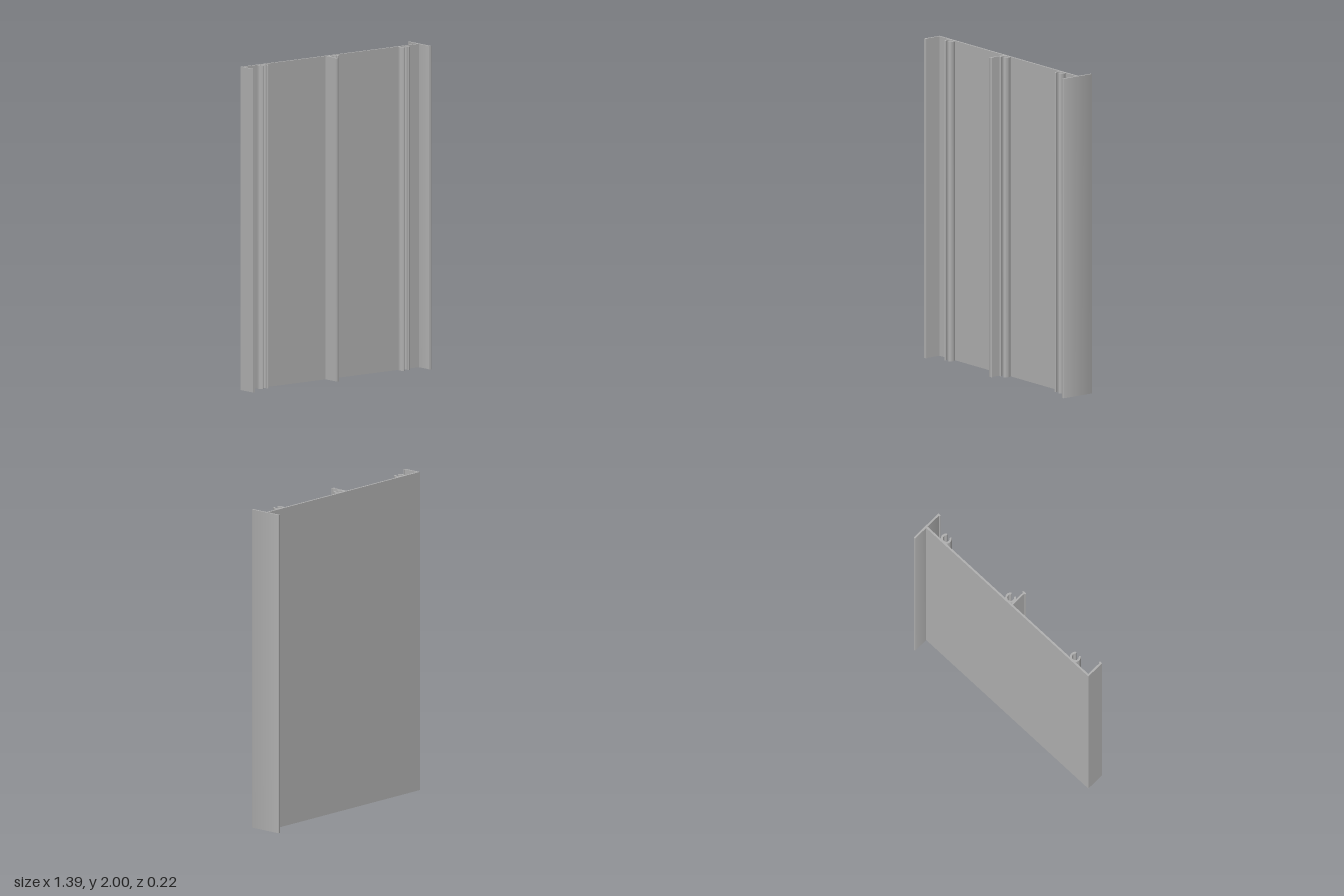
import * as THREE from 'three';
import { toCreasedNormals } from 'three/addons/utils/BufferGeometryUtils.js';

const HEIGHT = 2;

export function createModel() {
  const group = new THREE.Group();
  const aluminium = new THREE.MeshStandardMaterial({ color: 0xb0b0b0 });

  // Extrude a plan section (x, -z) up to the full height
  function extrude(name, shape) {
    const geo = new THREE.ExtrudeGeometry(shape, { depth: HEIGHT, bevelEnabled: false, curveSegments: 20 });
    geo.rotateX(-Math.PI / 2);
    const mesh = new THREE.Mesh(toCreasedNormals(geo, 0.6), aluminium);
    mesh.name = name;
    group.add(mesh);
    return mesh;
  }

  // Rectangular plan section with small rounded corners
  function bar(name, x0, x1, z0, z1, r = 0) {
    const s = new THREE.Shape();
    const y0 = -z1, y1 = -z0;
    if (r === 0) {
      s.moveTo(x0, y0).lineTo(x1, y0).lineTo(x1, y1).lineTo(x0, y1).closePath();
    } else {
      s.absarc(x1 - r, y0 + r, r, -Math.PI / 2, 0, false);
      s.absarc(x1 - r, y1 - r, r, 0, Math.PI / 2, false);
      s.absarc(x0 + r, y1 - r, r, Math.PI / 2, Math.PI, false);
      s.absarc(x0 + r, y0 + r, r, Math.PI, Math.PI * 1.5, false);
      s.closePath();
    }
    return extrude(name, s);
  }

  // Main web and side flanges
  bar('panel', -0.685, 0.685, -0.012, 0);
  bar('rightFlange', -0.697, -0.685, -0.012, 0.109);
  bar('leftFlange', 0.685, 0.697, -0.109, 0.109, 0.002);
  bar('centreRib', -0.042, -0.031, 0, 0.1);

  // Lips at the ends of the flanges and rib
  bar('rightLip', -0.69, -0.678, 0.1, 0.109, 0.004);
  bar('leftLip', 0.678, 0.69, 0.1, 0.109, 0.004);
  bar('centreLip', -0.05, -0.023, 0.1, 0.109, 0.004);

  // C-shaped screw channels, open to the front with rounded ends
  function screwChannel(name, x) {
    const outer = 0.0335, inner = 0.021, z = 0.024;
    const mid = (outer + inner) / 2, tip = (outer - inner) / 2;
    const a0 = -Math.PI / 2 + 0.78, a1 = Math.PI * 1.5 - 0.78;
    const at = (a) => [x + mid * Math.cos(a), -z + mid * Math.sin(a)];
    const s = new THREE.Shape();
    s.absarc(x, -z, outer, a0, a1, false);
    s.absarc(...at(a1), tip, a1, a1 + Math.PI, false);
    s.absarc(x, -z, inner, a1, a0, true);
    s.absarc(...at(a0), tip, a0 + Math.PI, a0 + 2 * Math.PI, false);
    extrude(name, s);
  }
  screwChannel('rightScrewChannel', -0.551);
  screwChannel('centreScrewChannel', 0);
  screwChannel('leftScrewChannel', 0.549);

  return group;
}
